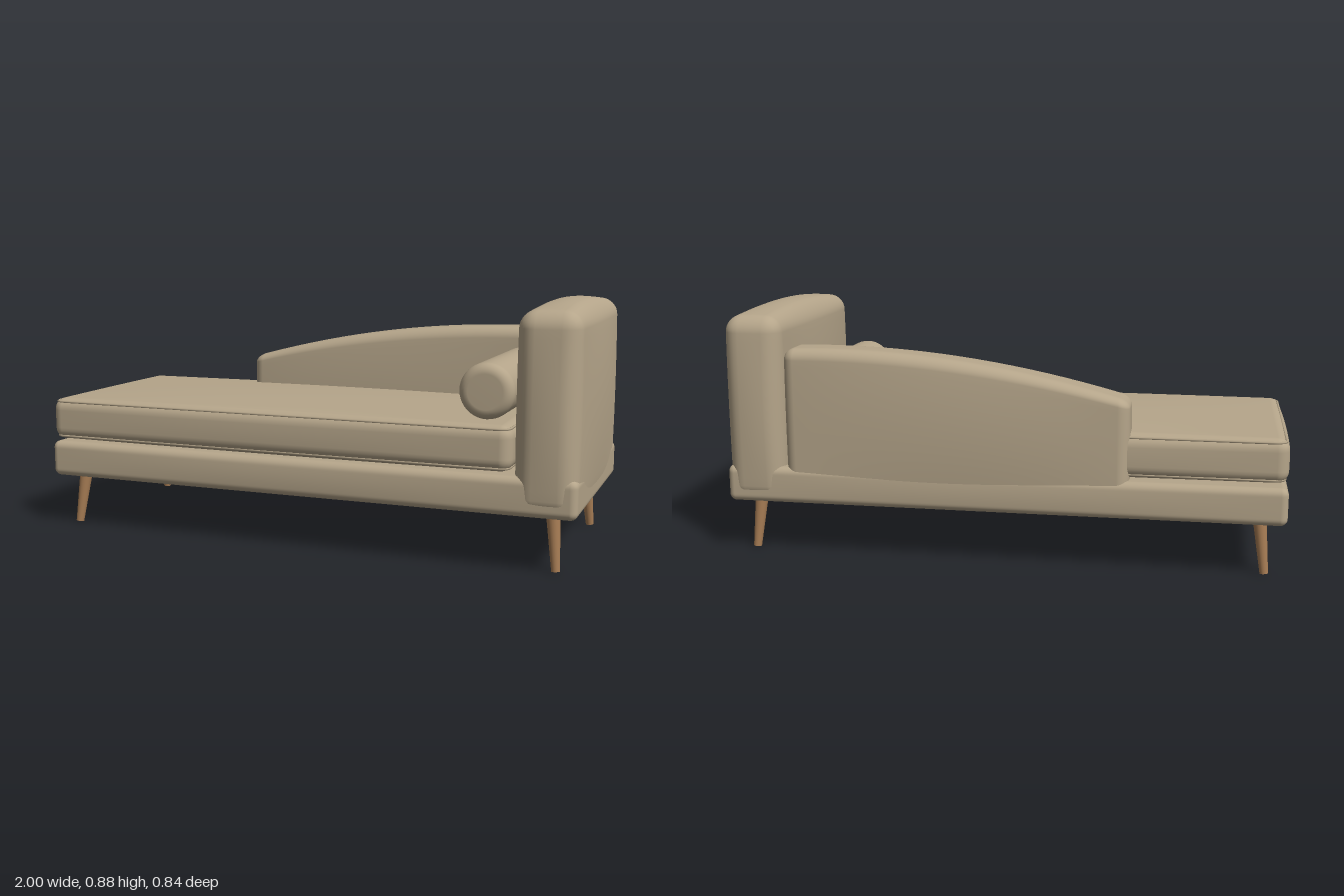
import * as THREE from 'three';
import { mergeVertices } from 'three/addons/utils/BufferGeometryUtils.js';

const fabric = new THREE.MeshStandardMaterial({ color: 0xb5a58a });
fabric.name = 'beige fabric';
const wood = new THREE.MeshStandardMaterial({ color: 0xa67c54 });
wood.name = 'leg wood';

// Upholstered block between two corners: rounded edges, faces swollen by bulge [x, y, z]
function pad(min, max, radius, bulge, deform) {
  const lo = new THREE.Vector3(...min), hi = new THREE.Vector3(...max);
  const half = hi.clone().sub(lo).multiplyScalar(0.5);
  const centre = lo.clone().add(hi).multiplyScalar(0.5);
  const geo = new THREE.BoxGeometry(2, 2, 2, 26, 26, 26);
  geo.deleteAttribute('uv');
  geo.deleteAttribute('normal');
  const merged = mergeVertices(geo, 1e-4);
  const pos = merged.attributes.position;
  const p = new THREE.Vector3(), inner = new THREE.Vector3();
  const core = half.clone().subScalar(radius);
  // the outer rows of vertices all go to the rounded edge
  const spread = (t, h, c) => {
    const a = Math.abs(t), k = 9 / 13;
    return Math.sign(t) * (a <= k ? (a / k) * c : c + radius * Math.tan(((a - k) / (1 - k)) * Math.PI / 4));
  };
  for (let i = 0; i < pos.count; i++) {
    p.fromBufferAttribute(pos, i);
    p.set(spread(p.x, half.x, core.x), spread(p.y, half.y, core.y), spread(p.z, half.z, core.z));
    inner.copy(p).clamp(core.clone().negate(), core);
    p.sub(inner).setLength(radius).add(inner);
    const u = p.clone().divide(half);
    const f = u.toArray().map((v) => Math.max(0, 1 - v * v));
    p.x += u.x * bulge[0] * f[1] * f[2];
    p.y += u.y * bulge[1] * f[0] * f[2];
    p.z += u.z * bulge[2] * f[0] * f[1];
    p.add(centre);
    if (deform) deform(p);
    pos.setXYZ(i, p.x, p.y, p.z);
  }
  merged.computeVertexNormals();
  return merged;
}

// Closed cord following a rounded rectangle at height y
function piping(x0, x1, z0, z1, y, corner) {
  const pts = [];
  const corners = [[x1, z1, -1, -1, 0], [x0, z1, 1, -1, 1], [x0, z0, 1, 1, 2], [x1, z0, -1, 1, 3]];
  for (const [x, z, sx, sz, q] of corners) {
    for (let i = 0; i <= 4; i++) {
      const a = (q + i / 4) * Math.PI / 2;
      pts.push(new THREE.Vector3(x + sx * corner + Math.cos(a) * corner, y, z + sz * corner + Math.sin(a) * corner));
    }
  }
  const path = new THREE.CurvePath();
  pts.forEach((p, i) => path.add(new THREE.LineCurve3(p, pts[(i + 1) % pts.length])));
  return new THREE.TubeGeometry(path, 240, 0.005, 6, true);
}

export function createModel() {
  const group = new THREE.Group();
  const add = (name, geo, mat = fabric) => {
    const mesh = new THREE.Mesh(geo, mat);
    mesh.name = name;
    group.add(mesh);
    return mesh;
  };

  // Base and seat
  add('base', pad([-0.992, 0.19, -0.405], [0.985, 0.322, 0.405], 0.025, [0, 0.004, 0.006]));
  add('seatCushion', pad([-0.99, 0.33, -0.38], [0.765, 0.484, 0.4], 0.04, [0.01, 0.018, 0.006]));
  for (const y of [0.342, 0.472]) add('cushionPiping', piping(-0.98, 0.755, -0.37, 0.39, y, 0.03));

  // Headrest
  add('headrest', pad([0.775, 0.195, -0.405], [0.98, 0.857, 0.405], 0.055, [0.018, 0.025, 0.014]));

  // Back bolster whose top edge sweeps down towards the foot
  const top = (x) => 0.75 - 0.15 * ((0.65 - x) / 1.1) ** 2;
  add('backrest', pad([-0.455, 0.22, -0.402], [0.765, 0.75, -0.243], 0.04, [0.004, 0.004, 0.015], (p) => {
    if (p.y > 0.3) p.y = 0.3 + ((p.y - 0.3) / 0.45) * (top(p.x) - 0.3);
  }));

  // Round pillow: soft-ended cylinder lying along z
  const r = 0.095, e = 0.035, halfLength = 0.295;
  const profile = [new THREE.Vector2(0, -halfLength)];
  for (const s of [-1, 1]) {
    for (let i = 0; i <= 6; i++) {
      const a = (s < 0 ? i / 6 - 1 : i / 6) * Math.PI / 2;
      profile.push(new THREE.Vector2(r - e + Math.cos(a) * e, s * (halfLength - e) + Math.sin(a) * e));
    }
  }
  profile.push(new THREE.Vector2(0, halfLength));
  const pillow = add('bolsterPillow', new THREE.LatheGeometry(profile, 40));
  pillow.rotation.x = Math.PI / 2;
  pillow.position.set(0.662, 0.585, 0.045);

  // Splayed tapered legs
  for (const [topX, footX] of [[-0.902, -0.924], [0.892, 0.91]]) {
    for (const s of [-1, 1]) {
      const foot = new THREE.Vector3(footX, 0.003, s * 0.335);
      const axis = new THREE.Vector3(topX, 0.2, s * 0.313).sub(foot);
      const leg = add('leg', new THREE.CylinderGeometry(0.024, 0.0145, axis.length(), 20), wood);
      leg.position.copy(foot).addScaledVector(axis, 0.5);
      leg.quaternion.setFromUnitVectors(new THREE.Vector3(0, 1, 0), axis.clone().normalize());
    }
  }
  return group;
}
